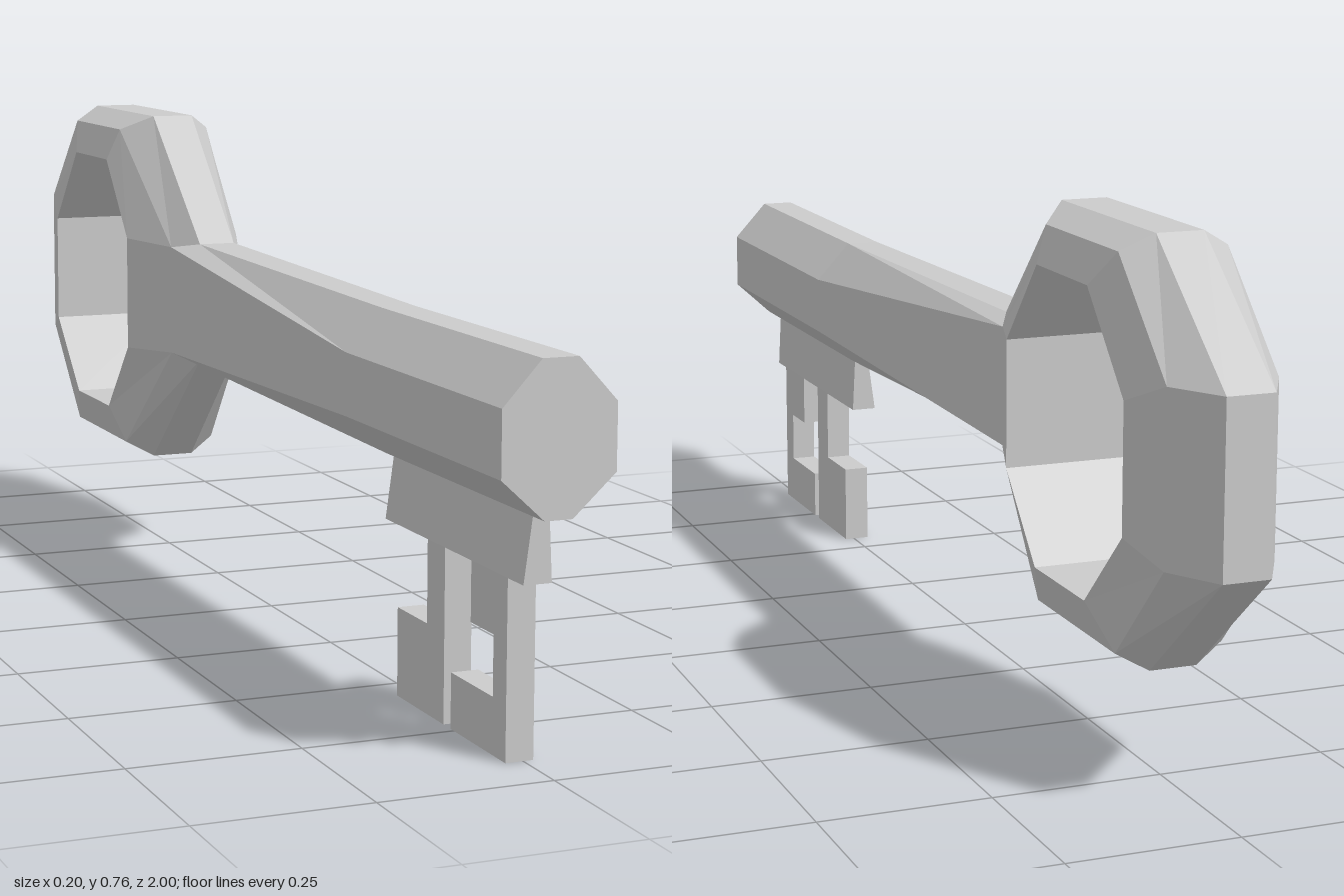
import * as THREE from 'three';

const material = new THREE.MeshStandardMaterial({ color: 0xcccccc, flatShading: true });

function addMesh(group, name, geometry) {
  const mesh = new THREE.Mesh(geometry, material);
  mesh.name = name;
  group.add(mesh);
}

// Skins a run of equal cross-sections, each a counter-clockwise loop of [x, y, z].
function loft(sections, { closed = false, caps = false } = {}) {
  const positions = [];
  const tri = (...points) => points.forEach((p) => positions.push(...p));
  const n = sections[0].length;
  const spans = closed ? sections.length : sections.length - 1;
  for (let i = 0; i < spans; i++) {
    const s = sections[i];
    const t = sections[(i + 1) % sections.length];
    for (let j = 0; j < n; j++) {
      const k = (j + 1) % n;
      tri(s[j], t[j], s[k]);
      tri(s[k], t[j], t[k]);
    }
  }
  if (caps) {
    const first = sections[0];
    const last = sections[sections.length - 1];
    for (let j = 1; j < n - 1; j++) {
      tri(first[0], first[j], first[j + 1]);
      tri(last[0], last[j + 1], last[j]);
    }
  }
  const geometry = new THREE.BufferGeometry();
  geometry.setAttribute('position', new THREE.Float32BufferAttribute(positions, 3));
  geometry.computeVertexNormals();
  return geometry;
}

// Mirrors the +x half of a section (bottom to top) into a whole loop.
const mirrored = (half) => [...half, ...half.map(([x, y, z]) => [-x, y, z]).reverse()];

const shapeOf = (points) => new THREE.Shape(points.map(([z, y]) => new THREE.Vector2(z, y)));

export function createModel() {
  const key = new THREE.Group();
  key.name = 'key';

  // Ring handle: three nested octagons in [z, y], each at its own half width
  const outer = [[-0.25, 0.565], [-0.47, 0.765], [-0.785, 0.765], [-1, 0.59],
    [-1, 0.345], [-0.785, 0.165], [-0.48, 0.165], [-0.25, 0.37]];
  const bevel = [[-0.31, 0.555], [-0.52, 0.74], [-0.765, 0.74], [-0.92, 0.59],
    [-0.92, 0.345], [-0.77, 0.19], [-0.5, 0.19], [-0.31, 0.375]];
  const hole = [[-0.425, 0.56], [-0.535, 0.687], [-0.71, 0.687], [-0.832, 0.555],
    [-0.832, 0.37], [-0.71, 0.25], [-0.535, 0.25], [-0.425, 0.37]];
  const ring = outer.map((o, i) => {
    const front = i === 0 || i === 7; // narrower where the shaft joins
    return mirrored([
      [0.1, hole[i][1], hole[i][0]],
      [front ? 0.06 : 0.08, bevel[i][1], bevel[i][0]],
      [front ? 0.03 : 0.035, o[1], o[0]],
    ]);
  });
  addMesh(key, 'ringHandle', loft(ring, { closed: true }));

  // Shaft: straight octagonal bar that flattens into the ring
  const bar = (z) => mirrored([
    [0.02, 0.343, z], [0.082, 0.4, z], [0.082, 0.492, z], [0.026, 0.553, z],
  ]);
  const joint = mirrored([
    [0.03, 0.37, -0.25], [0.06, 0.375, -0.31], [0.06, 0.555, -0.31], [0.03, 0.565, -0.25],
  ]);
  addMesh(key, 'shaft', loft([bar(1), bar(0.5), joint], { caps: true }));

  // Flange under the shaft, narrower at the top
  const flange = (z) => [[-0.026, 0.25, z], [0.015, 0.25, z], [0.01, 0.346, z], [-0.013, 0.346, z]];
  addMesh(key, 'bitFlange', loft([flange(0.955), flange(0.515)], { caps: true }));

  // Two hooked teeth cut from a flat plate
  const teeth = {
    frontTooth: [[0.91, 0.25], [0.91, 0], [0.74, 0], [0.74, 0.08],
      [0.87, 0.08], [0.87, 0.165], [0.8, 0.165], [0.8, 0.25]],
    backTooth: [[0.717, 0.25], [0.717, 0], [0.56, 0], [0.56, 0.13], [0.66, 0.13], [0.66, 0.25]],
  };
  for (const [name, points] of Object.entries(teeth)) {
    const geometry = new THREE.ExtrudeGeometry(shapeOf(points), { depth: 0.041, bevelEnabled: false });
    geometry.rotateY(-Math.PI / 2).translate(0.015, 0, 0);
    addMesh(key, name, geometry);
  }

  return key;
}
